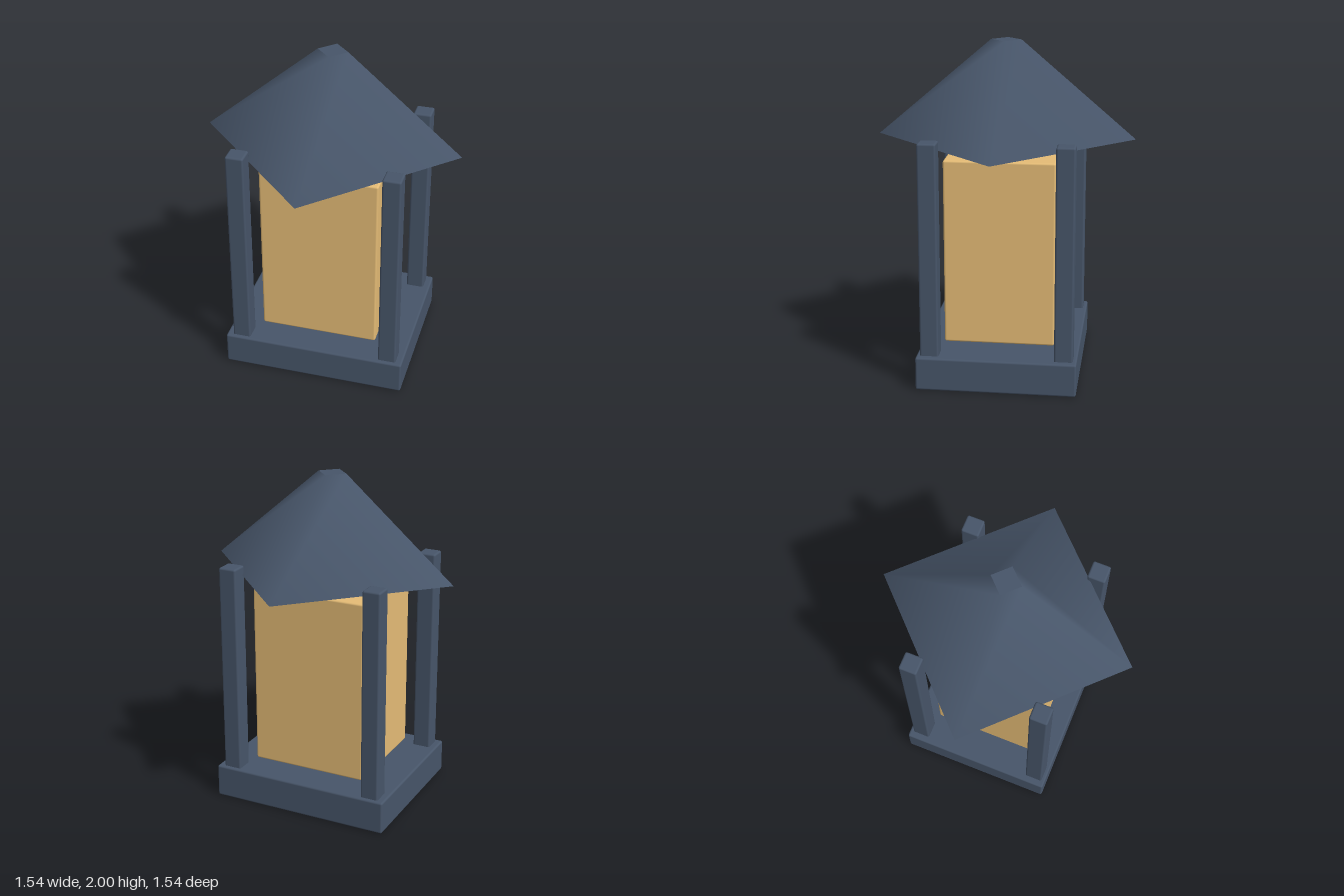
import * as THREE from 'three';
import { RoundedBoxGeometry } from 'three/addons/geometries/RoundedBoxGeometry.js';

export function createModel() {
  const lantern = new THREE.Group();
  lantern.name = 'lantern';
  const frame = new THREE.MeshStandardMaterial({ color: 0x475569 });
  const glow = new THREE.MeshStandardMaterial({ color: 0xe5bc76 });

  const add = (name, geometry, material, x, y, z) => {
    const mesh = new THREE.Mesh(geometry, material);
    mesh.name = name;
    mesh.position.set(x, y, z);
    lantern.add(mesh);
  };

  // Box with slightly softened edges, placed by its bottom and top heights
  const block = (name, width, depth, bottom, top, material, x = 0, z = 0) =>
    add(name, new RoundedBoxGeometry(width, top - bottom, depth, 2, 0.012),
      material, x, (bottom + top) / 2, z);

  // Base slab and the pane body floating just above it
  block('base', 1.11, 0.945, 0, 0.2, frame);
  block('lampBody', 0.715, 0.655, 0.235, 1.345, glow);

  // Four corner posts
  for (const [side, x] of [['Left', 0.46], ['Right', -0.46]]) {
    for (const [end, z] of [['front', 0.395], ['back', -0.395]]) {
      block(`${end}${side}Post`, 0.11, 0.11, 0.18, 1.475, frame, x, z);
    }
  }

  // Truncated four-sided roof with its corners on the axes
  add('roof', new THREE.CylinderGeometry(0.09, 0.77, 0.58, 4), frame, 0, 1.71, 0);

  return lantern;
}
